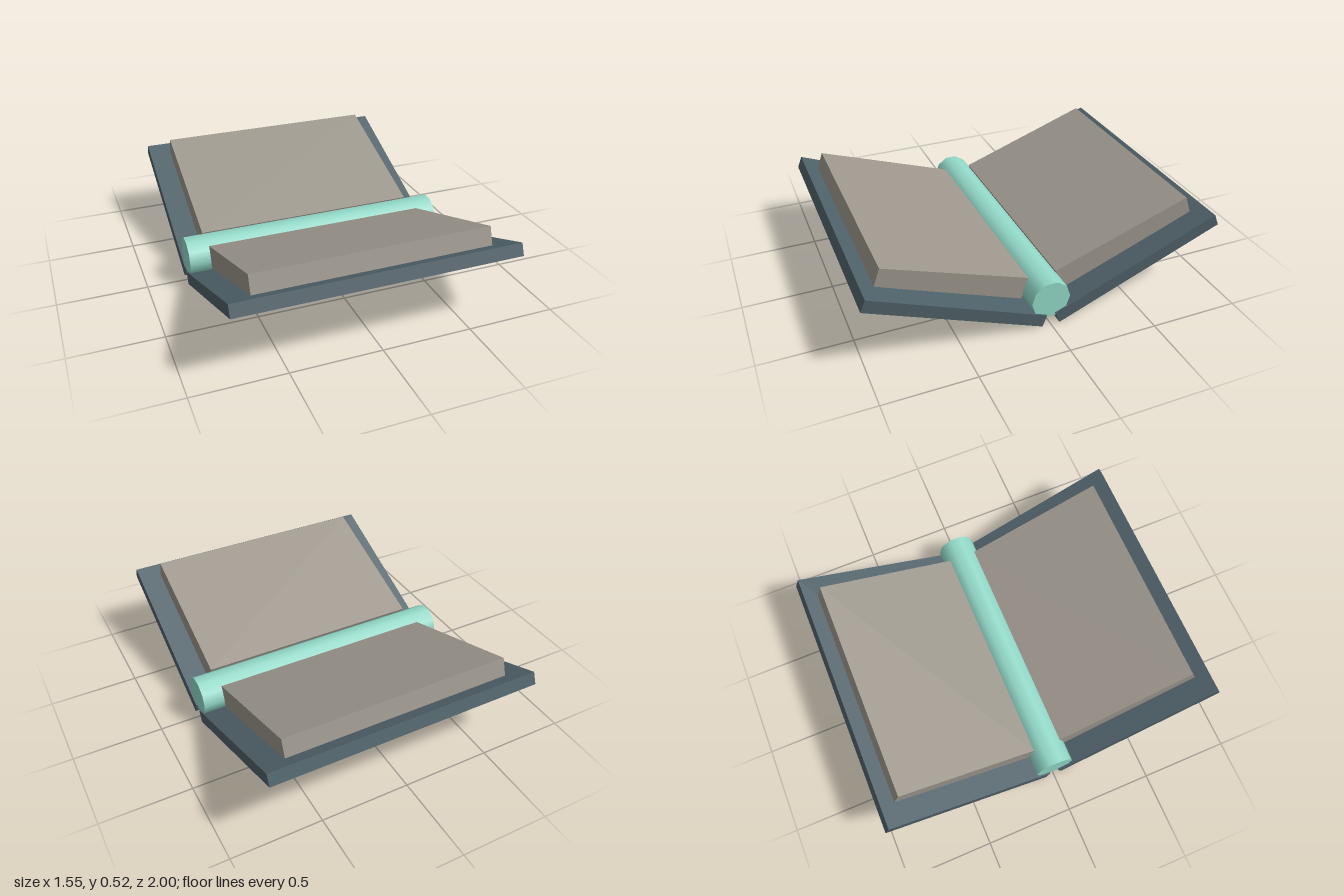
import * as THREE from 'three';

const coverMat = new THREE.MeshStandardMaterial({ color: 0x4f6169, name: 'slate cover' });
const pageMat = new THREE.MeshStandardMaterial({ color: 0x9d978d, name: 'warm grey pages' });
const spineMat = new THREE.MeshStandardMaterial({ color: 0x93dac9, name: 'mint spine' });

// Slab running along x, from a cross-section of [z, y] corners
function slab(name, section, width, material) {
  const shape = new THREE.Shape(section.map(([z, y]) => new THREE.Vector2(-z, y)));
  const geometry = new THREE.ExtrudeGeometry(shape, { depth: width, bevelEnabled: false });
  geometry.translate(0, 0, -width / 2).rotateY(Math.PI / 2);
  const mesh = new THREE.Mesh(geometry, material);
  mesh.name = name;
  return mesh;
}

// One tilted half of the open book: cover board and page block
function half(name) {
  const group = new THREE.Group();
  group.name = name;
  group.add(
    slab('cover', [[0.05, 0], [1, 0.385], [0.973, 0.45], [0.025, 0.066]], 1.552, coverMat),
    slab('pages', [[0.117, 0.115], [0.9, 0.418], [0.865, 0.516], [0.08, 0.24]], 1.296, pageMat)
  );
  return group;
}

export function createModel() {
  const book = new THREE.Group();
  book.name = 'openBook';

  const front = half('frontHalf');
  const back = half('backHalf');
  back.rotation.y = Math.PI;
  book.add(front, back);

  // Ten-sided rounded spine between the halves
  const spine = new THREE.Mesh(
    new THREE.CylinderGeometry(0.11, 0.11, 1.535, 10).rotateZ(Math.PI / 2), spineMat);
  spine.name = 'spine';
  spine.position.y = 0.155;
  book.add(spine);
  return book;
}
